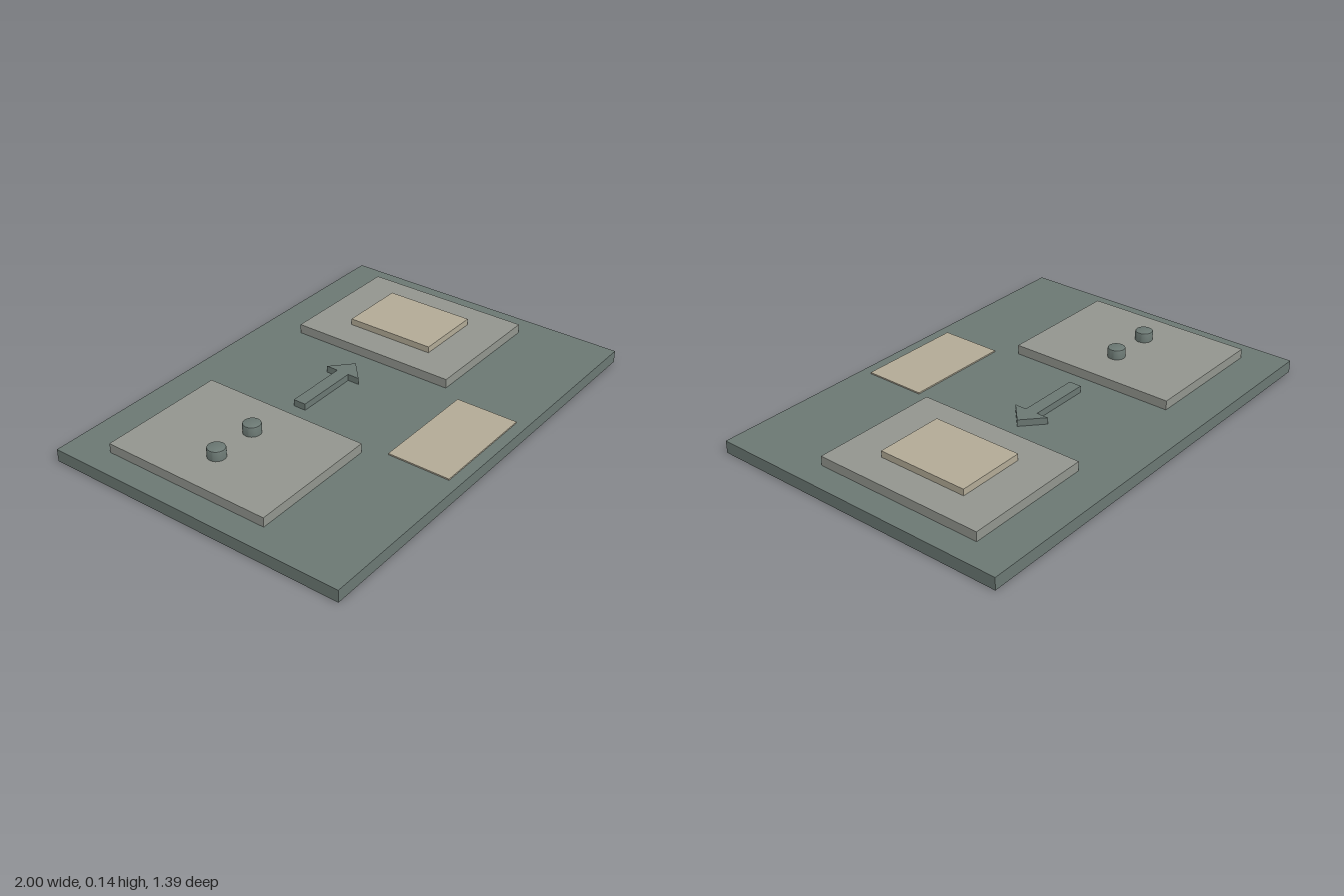
import * as THREE from 'three';
import { toCreasedNormals } from 'three/addons/utils/BufferGeometryUtils.js';

function material(name, color) {
  const m = new THREE.MeshStandardMaterial({ color });
  m.name = name;
  return m;
}

export function createModel() {
  const group = new THREE.Group();
  const slate = material('slateGreen', 0x6b7873);
  const grey = material('warmGrey', 0x92958e);
  const sand = material('sand', 0xb2aa96);

  const add = (name, geometry, mat) => {
    const mesh = new THREE.Mesh(geometry, mat);
    mesh.name = name;
    group.add(mesh);
    return mesh;
  };

  // Box given by its limits on each axis
  const slab = (name, mat, [x0, x1], [y0, y1], [z0, z1]) => {
    const mesh = add(name, new THREE.BoxGeometry(x1 - x0, y1 - y0, z1 - z0), mat);
    mesh.position.set((x0 + x1) / 2, (y0 + y1) / 2, (z0 + z1) / 2);
  };

  const baseTop = 0.055, padTop = 0.097;

  // Board and the plates lying on it
  slab('baseBoard', slate, [-1, 1], [0, baseTop], [-0.695, 0.695]);
  slab('rightPad', grey, [-0.888, -0.298], [baseTop, padTop], [-0.513, 0.27]);
  slab('leftPad', grey, [0.295, 0.885], [baseTop, padTop], [-0.513, 0.27]);
  slab('raisedTile', sand, [0.433, 0.745], [padTop, 0.126], [-0.33, 0.086]);
  slab('frontCard', sand, [-0.247, 0.245], [baseTop, 0.061], [0.362, 0.645]);

  // Two round studs with a softened top edge
  const r = 0.039, h = 0.044, b = 0.006;
  const profile = [[r, 0], [r, h - b], [r - b * 0.3, h - b * 0.3], [r - b, h], [0, h]]
    .map(([x, y]) => new THREE.Vector2(x, y));
  const studGeometry = toCreasedNormals(new THREE.LatheGeometry(profile, 32), 0.6);
  for (const x of [-0.699, -0.491]) {
    add('stud', studGeometry, slate).position.set(x, padTop, -0.123);
  }

  // Arrow pointing to the model's left
  const half = [[-0.195, 0.029], [0.097, 0.029], [0.097, 0.084]];
  const outline = [...half, [0.189, 0], ...half.map(([x, y]) => [x, -y]).reverse()]
    .map(([x, y]) => new THREE.Vector2(x, y));
  const arrowGeometry = new THREE.ExtrudeGeometry(new THREE.Shape(outline), {
    depth: 0.03, bevelEnabled: false,
  });
  arrowGeometry.rotateX(-Math.PI / 2);
  add('arrow', arrowGeometry, slate).position.set(0, baseTop, -0.124);

  return group;
}
